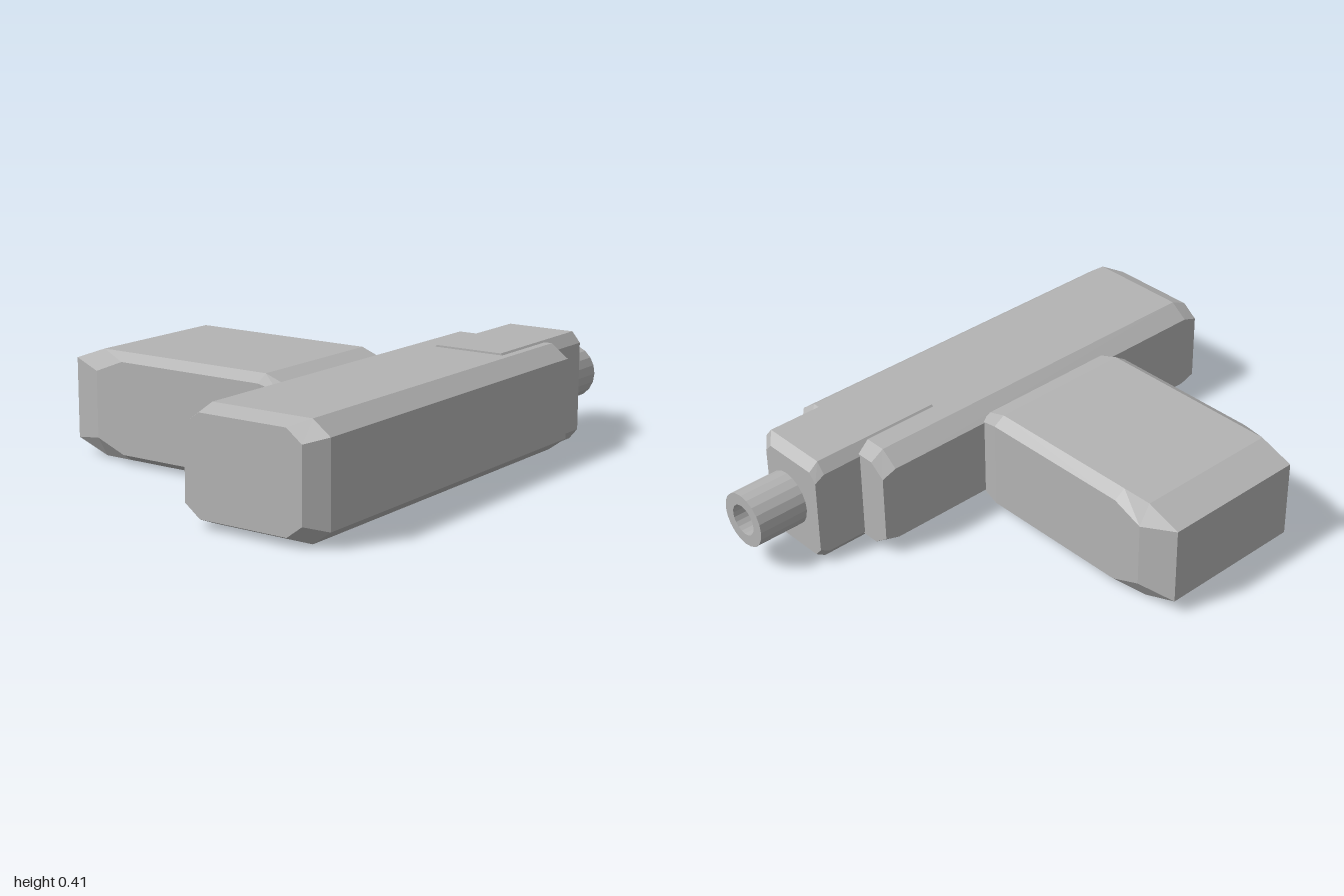
import * as THREE from 'three';

// Chamfered rectangle ring, counter-clockwise: [min u, max u, min v, max v, chamfer u, chamfer v]
function ring([u0, u1, v0, v1, cu, cv]) {
  return [
    [u1, v0 + cv], [u1, v1 - cv], [u1 - cu, v1], [u0 + cu, v1],
    [u0, v1 - cv], [u0, v0 + cv], [u0 + cu, v0], [u1 - cu, v0],
  ];
}

// Faceted solid through chamfered sections [t, ...ring] along the x or z axis
function loft(axis, sections) {
  const rings = sections.map(([t, ...s]) => ring(s).map(([u, v]) =>
    axis === 'x' ? new THREE.Vector3(t, v, u) : new THREE.Vector3(u, v, t)));
  const pos = [];
  const tri = (a, b, c) => {
    const area = b.clone().sub(a).cross(c.clone().sub(a)).length();
    if (area < 1e-9) return;
    for (const p of axis === 'x' ? [a, c, b] : [a, b, c]) pos.push(p.x, p.y, p.z);
  };
  for (let i = 0; i < rings.length - 1; i++) {
    const lo = rings[i], hi = rings[i + 1];
    for (let j = 0; j < 8; j++) {
      const k = (j + 1) % 8;
      tri(lo[j], lo[k], hi[k]);
      tri(lo[j], hi[k], hi[j]);
    }
  }
  const first = rings[0], last = rings[rings.length - 1];
  for (let j = 1; j < 7; j++) {
    tri(first[0], first[j + 1], first[j]);
    tri(last[0], last[j], last[j + 1]);
  }
  const geo = new THREE.BufferGeometry();
  geo.setAttribute('position', new THREE.Float32BufferAttribute(pos, 3));
  geo.computeVertexNormals();
  return geo;
}

export function createModel() {
  const group = new THREE.Group();
  const grey = new THREE.MeshStandardMaterial({ color: 0xb4b4b4 });
  grey.name = 'grey';
  const add = (name, geo) => {
    const mesh = new THREE.Mesh(geo, grey);
    mesh.name = name;
    group.add(mesh);
    return mesh;
  };

  // Long body, its ends tapered towards the front
  add('body', loft('x', [
    [-1, 0.2, 0.665, 0.035, 0.385, 0.06, 0.045],
    [-0.94, 0.2, 0.73, 0.01, 0.41, 0.068, 0.05],
    [0.54, 0.2, 0.73, 0.01, 0.41, 0.068, 0.05],
    [0.6, 0.2, 0.665, 0.035, 0.385, 0.06, 0.045],
  ]));

  // Nose block, standing slightly proud of the body above and below
  add('noseBlock', loft('x', [
    [0.235, 0.325, 0.66, 0.003, 0.417, 0.033, 0.04],
    [0.76, 0.325, 0.66, 0.003, 0.417, 0.033, 0.04],
    [0.8, 0.325, 0.61, 0.03, 0.39, 0.03, 0.035],
  ]));

  // Handle, its far end bevelled to a plain rectangle
  add('handle', loft('z', [
    [-0.735, -0.49, 0.085, 0.06, 0.36, 0, 0],
    [-0.6, -0.535, 0.13, 0.01, 0.408, 0.045, 0.075],
    [-0.48, -0.535, 0.13, 0.01, 0.408, 0.045, 0.028],
    [0.135, -0.535, 0.13, 0.01, 0.408, 0.045, 0.028],
    [0.215, -0.53, 0.12, 0.038, 0.38, 0.04, 0.02],
  ]));

  // Hollow barrel
  const profile = [[0.105, 0], [0.105, 0.22], [0.06, 0.22], [0.06, 0.02], [0, 0.02]]
    .map(([r, y]) => new THREE.Vector2(r, y));
  const tube = new THREE.LatheGeometry(profile, 20).toNonIndexed();
  tube.computeVertexNormals();
  const barrel = add('barrel', tube);
  barrel.rotation.z = -Math.PI / 2;
  barrel.position.set(0.78, 0.21, 0.495);

  return group;
}
